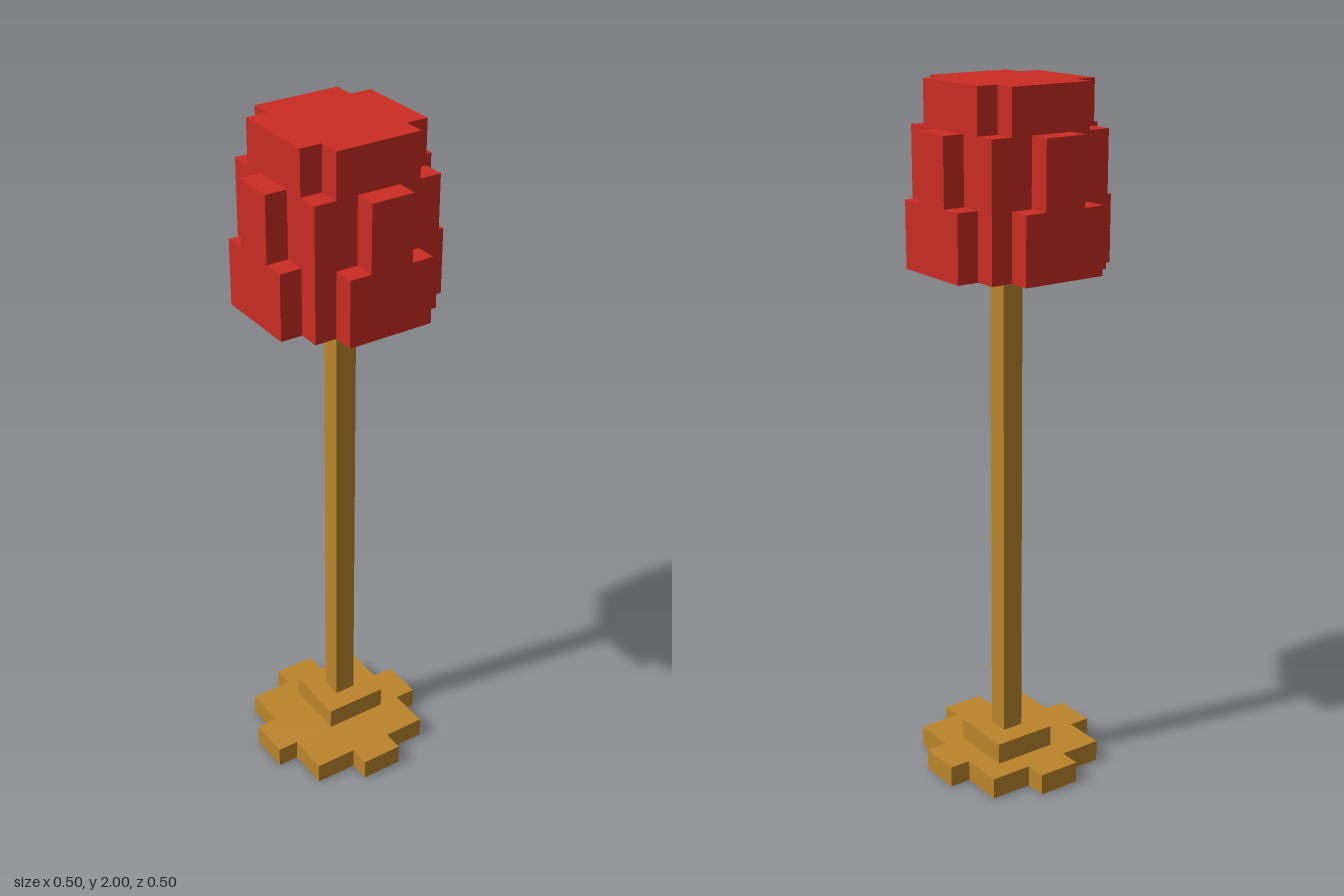
import * as THREE from 'three';
import { mergeGeometries } from 'three/addons/utils/BufferGeometryUtils.js';

const U = 1 / 16; // one block

// Square of half-width body with four arms of half-width arm out to reach, in blocks
function crossOutline(body, reach, arm) {
  const quarter = [[reach, -arm], [reach, arm]];
  if (arm < body) quarter.push([body, arm], [body, body], [arm, body]);
  else quarter.push([body, body]);
  const points = [];
  for (let q = 0; q < 4; q++) {
    for (const p of quarter) {
      let [x, y] = p;
      for (let i = 0; i < q; i++) [x, y] = [-y, x];
      points.push(new THREE.Vector2(x * U, y * U));
    }
  }
  return points;
}

function squareOutline(min, max) {
  return [[min, min], [max, min], [max, max], [min, max]]
    .map(([x, y]) => new THREE.Vector2(x * U, y * U));
}

// Flat face at height h, with an optional hole
function plate(outline, h, hole) {
  const shape = new THREE.Shape(outline);
  if (hole) shape.holes.push(new THREE.Path(hole));
  const g = new THREE.ShapeGeometry(shape).toNonIndexed();
  g.deleteAttribute('uv');
  return g.translate(0, 0, h);
}

// Upright faces around an outline
function walls(outline, h0, h1) {
  const v = [];
  outline.forEach((a, i) => {
    const b = outline[(i + 1) % outline.length];
    v.push(a.x, a.y, h0, b.x, b.y, h0, b.x, b.y, h1);
    v.push(a.x, a.y, h0, b.x, b.y, h1, a.x, a.y, h1);
  });
  const g = new THREE.BufferGeometry();
  g.setAttribute('position', new THREE.Float32BufferAttribute(v, 3));
  g.computeVertexNormals();
  return g;
}

export function createModel() {
  const wood = new THREE.MeshStandardMaterial({ color: 0xbb852b, side: THREE.DoubleSide });
  wood.name = 'wood';
  const red = new THREE.MeshStandardMaterial({ color: 0xca2c22, side: THREE.DoubleSide });
  red.name = 'red fabric';

  const model = new THREE.Group();
  model.name = 'floorLamp';
  const add = (name, material, parts) => {
    const mesh = new THREE.Mesh(mergeGeometries(parts).rotateX(-Math.PI / 2), material);
    mesh.name = name;
    model.add(mesh);
  };

  const pole = squareOutline(0, 1);
  const collar = squareOutline(-1, 2);
  const foot = crossOutline(3, 4, 1);

  // Stand: hollow foot and collar, open underneath, and a thin pole
  add('foot', wood, [walls(foot, 0, U), plate(foot, U, collar)]);
  add('collar', wood, [walls(collar, U, 2 * U), plate(collar, 2 * U, pole)]);
  add('pole', wood, [walls(pole, 2 * U, 24 * U)]);

  // Shade: three stacked tiers
  const tiers = [
    ['shadeLower', crossOutline(3, 4, 2), 24, 27],
    ['shadeMiddle', crossOutline(3, 4, 1), 27, 30],
    ['shadeTop', crossOutline(2, 3, 2), 30, 32],
  ];
  for (const [name, outline, from, to] of tiers) {
    add(name, red, [walls(outline, from * U, to * U), plate(outline, to * U)]);
  }

  // Underside of the shade, facing down
  const under = new THREE.Mesh(
    plate(tiers[0][1], 0, pole).rotateX(-Math.PI / 2), red);
  under.name = 'shadeUnderside';
  under.geometry.translate(0, 24 * U, 0);
  const n = under.geometry.attributes.normal;
  const p = under.geometry.attributes.position;
  for (let i = 0; i < p.count; i += 3) {
    // swap two corners so the face points down
    const c = [p.getX(i), p.getY(i), p.getZ(i)];
    p.setXYZ(i, p.getX(i + 1), p.getY(i + 1), p.getZ(i + 1));
    p.setXYZ(i + 1, ...c);
    for (let k = 0; k < 3; k++) n.setXYZ(i + k, 0, -1, 0);
  }
  model.add(under);

  return model;
}
